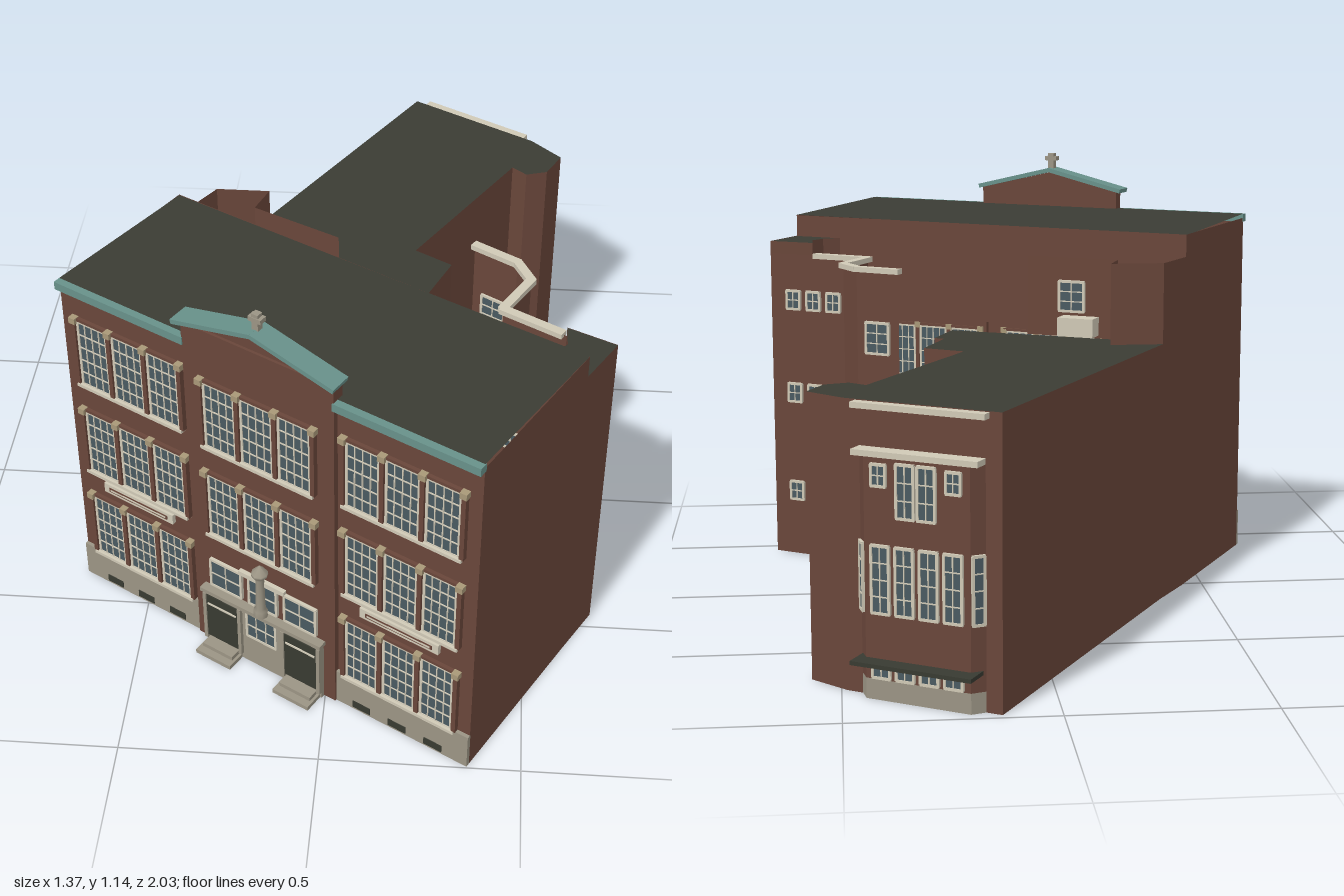
import * as THREE from 'three';
import { mergeGeometries } from 'three/addons/utils/BufferGeometryUtils.js';

const mat = (name, color) => {
  const m = new THREE.MeshStandardMaterial({ color, side: THREE.DoubleSide });
  m.name = name;
  return m;
};
const M = {
  brick: mat('brick', 0x69463a), roof: mat('roof', 0x3b3c34), stone: mat('stone', 0x9b9484),
  cream: mat('cream', 0xd0c9b6), glass: mat('glass', 0x4a5a61), copper: mat('copper', 0x68918a),
  dark: mat('dark', 0x383a31), capital: mat('capital', 0xa89878),
};

// Building axes: u runs along the street front, w points out of it
const C = Math.cos(Math.PI / 6), S = 0.5;
const P = (u, w) => [C * u - S * w, S * u + C * w];

const mesh = (parent, name, geo, m) => {
  const o = new THREE.Mesh(geo, m);
  o.name = name;
  parent.add(o);
  return o;
};
const boxGeo = (w, h, d, x, y, z) => new THREE.BoxGeometry(w, h, d).translate(x, y, z);
const box = (parent, name, m, w, h, d, x, y, z) => mesh(parent, name, boxGeo(w, h, d, x, y, z), m);

// Flat polygon in space
const face = (pts) => {
  const pos = [];
  for (let i = 1; i < pts.length - 1; i++) pos.push(...pts[0], ...pts[i], ...pts[i + 1]);
  const g = new THREE.BufferGeometry();
  g.setAttribute('position', new THREE.Float32BufferAttribute(pos, 3));
  g.computeVertexNormals();
  return g;
};
// Thin upright walls along a plan line
const walls = (parent, name, pts, y0, y1, m = M.brick) => {
  const parts = [];
  for (let i = 0; i < pts.length - 1; i++) {
    const [a, b] = [pts[i], pts[i + 1]];
    parts.push(face([[a[0], y0, a[1]], [b[0], y0, b[1]], [b[0], y1, b[1]], [a[0], y1, a[1]]]));
  }
  return mesh(parent, name, mergeGeometries(parts), m);
};
const flatRoof = (parent, name, pts, y) => {
  const shape = new THREE.Shape(pts.map(([x, z]) => new THREE.Vector2(x, -z)));
  return mesh(parent, name, new THREE.ShapeGeometry(shape).rotateX(-Math.PI / 2).translate(0, y, 0), M.roof);
};
// Group at the middle of wall a-b with +z facing outwards
const onWall = (parent, name, a, b) => {
  const g = new THREE.Group();
  g.name = name;
  g.position.set((a[0] + b[0]) / 2, 0, (a[1] + b[1]) / 2);
  g.rotation.y = Math.atan2(-(b[1] - a[1]), b[0] - a[0]);
  g.userData.length = Math.hypot(b[0] - a[0], b[1] - a[1]);
  parent.add(g);
  return g;
};
// Window centred at x, from y0 to y1, with glazing bars
const windowAt = (g, x, y0, y1, w, z = 0, cols = 4, rows = 5, t = 0.004) => {
  const h = y1 - y0, y = (y0 + y1) / 2, bars = [];
  box(g, 'windowPane', M.glass, w, h, 0.009, x, y, z);
  for (let i = 0; i <= cols; i++) {
    const k = i % cols ? t * 0.7 : t * 1.7;
    bars.push(boxGeo(k, h, 0.014, x + (i / cols - 0.5) * w, y, z));
  }
  for (let j = 0; j <= rows; j++) {
    const k = j % rows ? t * 0.7 : t * 1.7;
    bars.push(boxGeo(w + t, k, 0.014, x, y0 + (j / rows) * h, z));
  }
  mesh(g, 'windowBars', mergeGeometries(bars), M.cream);
};
// Three tall windows between small pilasters
const tripleWindow = (g, x, y0, z) => {
  const y1 = y0 + 0.195;
  for (let i = -1; i <= 1; i++) windowAt(g, x + i * 0.109, y0, y1, 0.088, z);
  for (let i = 0; i < 4; i++) {
    const px = x + (i - 1.5) * 0.109;
    box(g, 'pilaster', M.brick, 0.012, 0.19, 0.02, px, y0 + 0.095, z + 0.002);
    box(g, 'capital', M.capital, 0.019, 0.017, 0.024, px, y1 + 0.003, z + 0.004);
  }
  box(g, 'lintel', M.brick, 0.33, 0.008, 0.016, x, y1 + 0.006, z);
  box(g, 'sill', M.cream, 0.33, 0.009, 0.022, x, y0 - 0.003, z + 0.004);
};

function buildMainBlock(root) {
  const a = P(-0.395, 0.67), b = P(0.815, 0.67), c = P(0.815, 0.2), d = P(-0.39, 0.205);
  walls(root, 'frontWall', [a, P(-0.007, 0.67), P(-0.007, 0.685), P(0.427, 0.685), P(0.427, 0.67), b], 0, 0.985);
  walls(root, 'endWall', [a, d], 0, 0.975);
  walls(root, 'endWall', [b, c], 0, 0.975);
  walls(root, 'upperBackWall', [c, d], 0.7, 0.975);
  mesh(root, 'mainRoof', face([[a[0], 0.987, a[1]], [b[0], 0.987, b[1]], [c[0], 0.976, c[1]], [d[0], 0.973, d[1]]]), M.roof);
}

function buildFacade(root) {
  const f = onWall(root, 'streetFront', P(-0.395, 0.675), P(0.815, 0.675));
  for (const s of [-1, 1]) {
    const x = s * 0.4;
    for (const y of [0.105, 0.395, 0.685]) tripleWindow(f, x, y, -0.003);
    box(f, 'stoneBase', M.stone, 0.388, 0.105, 0.012, s * 0.411, 0.0525, -0.001);
    for (let i = -1; i <= 1; i++) box(f, 'basementOpening', M.dark, 0.052, 0.022, 0.016, x + i * 0.106, 0.018, -0.001);
    box(f, 'cornice', M.copper, 0.392, 0.022, 0.024, s * 0.41, 0.975, 0.002);
    // Framed blank plaque
    box(f, 'plaqueFrame', M.cream, 0.225, 0.03, 0.014, x, 0.358, 0);
    box(f, 'plaquePanel', M.brick, 0.19, 0.012, 0.018, x, 0.358, 0);
    box(f, 'plaqueBand', M.cream, 0.18, 0.005, 0.02, x, 0.358, 0);
    // Doorway and steps
    box(f, 'doorway', M.dark, 0.1, 0.145, 0.014, s * 0.123, 0.102, 0.022);
    for (const k of [-1, 1]) box(f, 'doorJamb', M.stone, 0.01, 0.16, 0.014, s * 0.123 + k * 0.055, 0.1, 0.025);
    box(f, 'doorTransom', M.cream, 0.09, 0.005, 0.016, s * 0.123, 0.148, 0.024);
    box(f, 'lowerStep', M.stone, 0.11, 0.012, 0.055, s * 0.123, 0.006, 0.05);
    box(f, 'upperStep', M.stone, 0.095, 0.024, 0.035, s * 0.123, 0.012, 0.04);
    windowAt(f, s * 0.115, 0.21, 0.297, 0.095, 0.012, 2, 2);
    box(f, 'gableRake', M.copper, 0.238, 0.012, 0.06, 0, 0, 0).position.set(s * 0.114, 1.066, 0.002);
    f.children.at(-1).rotation.z = -s * 0.235;
  }
  // Central bay
  tripleWindow(f, 0, 0.395, 0.012);
  tripleWindow(f, 0, 0.685, 0.012);
  box(f, 'portal', M.stone, 0.365, 0.19, 0.016, 0, 0.095, 0.014);
  box(f, 'portalCornice', M.stone, 0.375, 0.012, 0.03, 0, 0.193, 0.02);
  windowAt(f, 0, 0.1, 0.183, 0.09, 0.022, 3, 2);
  windowAt(f, 0, 0.21, 0.297, 0.085, 0.012, 2, 2);
  box(f, 'windowHead', M.cream, 0.14, 0.014, 0.02, 0, 0.305, 0.012);
  const pillar = new THREE.LatheGeometry([[0.019, 0.199], [0.019, 0.22], [0.013, 0.225], [0.011, 0.325],
    [0.022, 0.34], [0.022, 0.347], [0, 0.372]].map(p => new THREE.Vector2(...p)), 8);
  mesh(f, 'portalPillar', pillar.translate(0, 0, 0.025), M.stone);
  // Gable and finial
  const gable = new THREE.Shape([[-0.217, 0.96], [0.217, 0.96], [0.217, 1.035], [0, 1.086], [-0.217, 1.035]]
    .map(p => new THREE.Vector2(...p)));
  mesh(f, 'gable', new THREE.ExtrudeGeometry(gable, { depth: 0.035, bevelEnabled: false }).translate(0, 0, -0.024), M.brick);
  box(f, 'gableBand', M.brick, 0.434, 0.006, 0.008, 0, 1.035, 0.014);
  box(f, 'finial', M.stone, 0.018, 0.06, 0.018, 0, 1.112, 0);
  box(f, 'finialCap', M.stone, 0.036, 0.012, 0.022, 0, 1.127, 0);
}

// Cornice strips following a plan line
function trim(root, name, pts, y, h = 0.014, d = 0.024) {
  for (let i = 0; i < pts.length - 1; i++) {
    const g = onWall(root, name, pts[i], pts[i + 1]);
    box(g, name, M.cream, g.userData.length + 0.01, h, d, 0, y, 0);
  }
}

function buildCourtSide(root) {
  // Stepped end annex
  const annex = [P(0.815, 0.2), [0.68, 0.455], [0.56, 0.395], [0.56, 0.46], [0.53, 0.495], [0.48, 0.51]];
  walls(root, 'annexWall', annex.slice(0, 2), 0, 0.915);
  walls(root, 'annexParapet', annex.slice(1), 0.7, 0.915);
  flatRoof(root, 'annexRoof', annex, 0.914);
  // Courtyard wall with angled bay
  const line = [[0.68, 0.455], [0.405, 0.29], [0.475, 0.165], [0.44, 0.09], [0.33, 0.02]];
  walls(root, 'courtWall', line, 0, 0.88);
  trim(root, 'courtCornice', [[0.55, 0.377], ...line.slice(1)], 0.88);
  const long = onWall(root, 'classroomWall', line[0], line[1]);
  for (const y of [0.19, 0.48, 0.75])
    for (let i = 0; i < 4; i++) windowAt(long, -0.085 + i * 0.066, y - 0.026, y + 0.026, 0.042, 0.001, 2, 2);
  const bay = onWall(root, 'stairBay', line[3], line[4]);
  for (const y of [0.46, 0.695]) windowAt(bay, 0, y - 0.042, y + 0.042, 0.07, 0.001, 2, 3);
  // Low porch
  const porch = [[0.24, 0.01], [0.36, 0.01], [0.39, -0.07], [0.27, -0.14]];
  walls(root, 'porchWall', porch, 0, 0.28);
  flatRoof(root, 'porchRoof', porch, 0.28);
  trim(root, 'porchCornice', porch.slice(1), 0.284);
  const pw = onWall(root, 'porchFront', porch[2], porch[3]);
  windowAt(pw, 0, 0.11, 0.22, 0.075, 0.001, 2, 3);
}

function buildRearWing(root) {
  const plan = [[-0.36, -0.14], P(-0.372, -0.92), P(0.03, -0.92), P(0.144, -0.89), P(0.149, -0.8), P(0.107, -0.755),
    P(0.055, -0.765), [0.17, -0.2], [0.27, -0.14], [0.21, 0], [0.235, 0.015], [0.18, 0.14], [-0.25, -0.06], [-0.22, -0.14]];
  walls(root, 'wingWall', plan.slice(0, 11), 0, 0.7);
  walls(root, 'wingCourtWall', plan.slice(10, 13), 0.62, 0.7);
  flatRoof(root, 'wingRoof', plan, 0.7);
  // Tall link to the main block
  walls(root, 'linkWall', [P(-0.39, 0.205), plan[0]], 0, 0.915);
  const upper = [[-0.36, -0.14], [-0.22, -0.14], [-0.25, -0.06], [-0.02, 0.06]];
  walls(root, 'linkUpperWall', upper, 0.7, 0.915);
  const lw = onWall(root, 'linkWindowWall', upper[3], upper[2]);
  windowAt(lw, 0, 0.77, 0.85, 0.07, 0.002, 2, 3);
  box(lw, 'roofHatch', M.cream, 0.1, 0.05, 0.05, 0.03, 0.735, 0.035);

  // End bay of the wing
  const e = onWall(root, 'wingEnd', P(0.03, -0.92), P(-0.372, -0.92));
  const bay = new THREE.Shape([[-0.16, 0], [-0.135, 0.028], [0.135, 0.028], [0.16, 0]].map(([x, z]) => new THREE.Vector2(x, -z)));
  const bayPart = (name, m, y, h) => mesh(e, name,
    new THREE.ExtrudeGeometry(bay, { depth: h, bevelEnabled: false }).rotateX(-Math.PI / 2).translate(0, y, 0), m);
  bayPart('bayWall', M.brick, 0.05, 0.53);
  bayPart('bayBase', M.stone, 0, 0.05);
  box(e, 'bayCornice', M.cream, 0.32, 0.014, 0.045, 0, 0.586, 0.02);
  box(e, 'roofTrim', M.cream, 0.34, 0.014, 0.03, 0, 0.691, 0.01);
  box(e, 'canopy', M.dark, 0.31, 0.01, 0.07, 0, 0.095, 0.035);
  for (let i = 0; i < 4; i++) {
    const x = (i - 1.5) * 0.062;
    windowAt(e, x, 0.21, 0.37, 0.045, 0.028, 2, 4);
    windowAt(e, x, 0.055, 0.085, 0.045, 0.028, 2, 1);
  }
  for (const s of [-1, 1]) {
    windowAt(e, s * 0.027, 0.44, 0.565, 0.044, 0.028, 2, 3);
    windowAt(e, s * 0.095, 0.51, 0.56, 0.036, 0.028, 2, 2);
    const side = new THREE.Group();
    side.name = 'baySide';
    side.position.set(s * 0.1475, 0, 0.014);
    side.rotation.y = s * 0.84;
    e.add(side);
    windowAt(side, 0, 0.21, 0.37, 0.028, 0, 1, 4);
  }
}

export function createModel() {
  const root = new THREE.Group();
  root.name = 'schoolBuilding';
  buildMainBlock(root);
  buildFacade(root);
  buildCourtSide(root);
  buildRearWing(root);
  return root;
}
